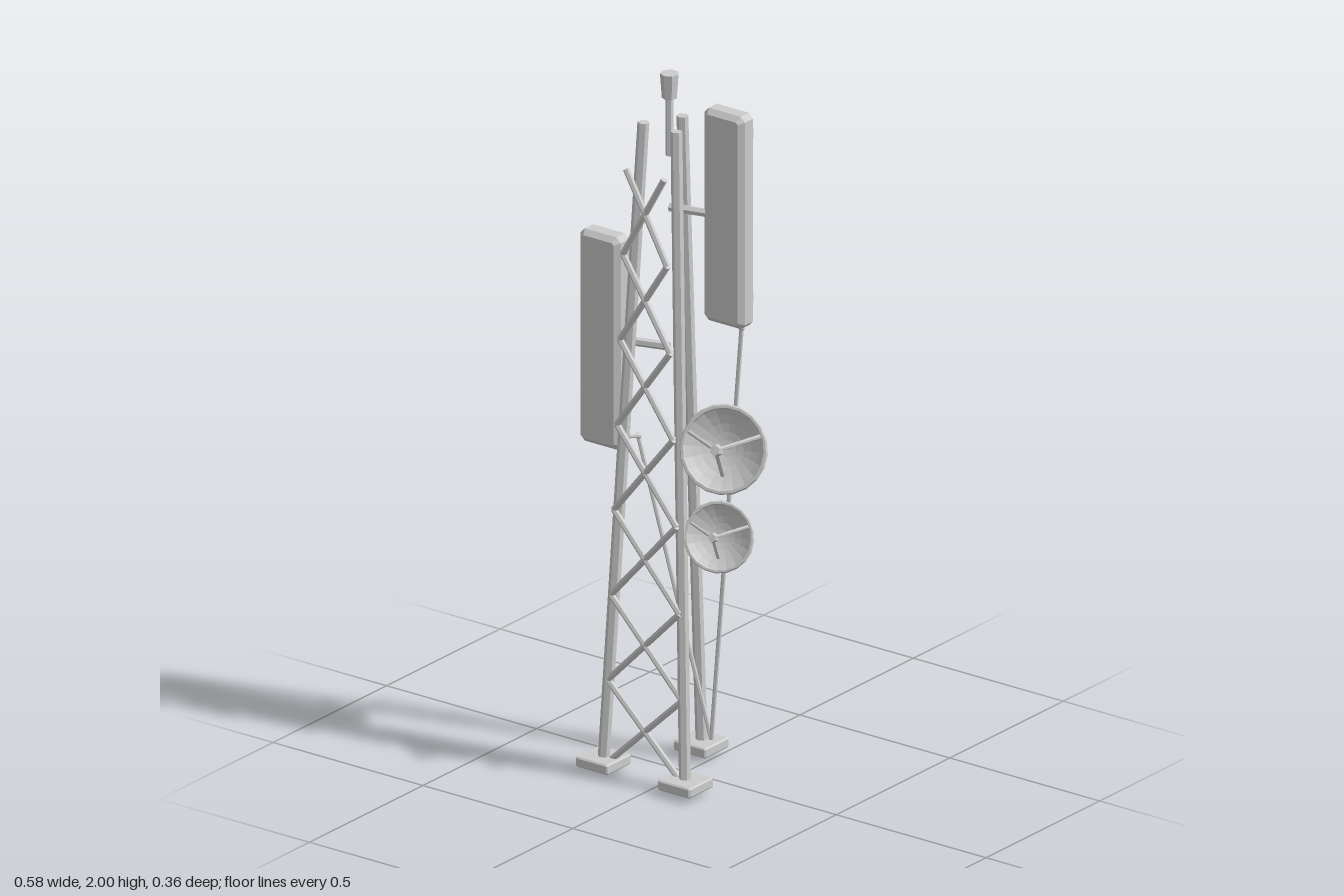
import * as THREE from 'three';

const material = new THREE.MeshStandardMaterial({ color: 0xcccccc, flatShading: true });
const thinMaterial = new THREE.MeshStandardMaterial({ color: 0xcccccc, flatShading: true, side: THREE.DoubleSide });
const V = (x, y, z) => new THREE.Vector3(x, y, z);

function add(parent, name, geometry, position = V(0, 0, 0), mat = material) {
  const mesh = new THREE.Mesh(geometry, mat);
  mesh.name = name;
  mesh.position.copy(position);
  parent.add(mesh);
  return mesh;
}

// Straight bar between two points
function bar(parent, name, a, b, radius, sides = 6) {
  const dir = b.clone().sub(a);
  const mesh = add(parent, name, new THREE.CylinderGeometry(radius, radius, dir.length(), sides),
    a.clone().add(b).multiplyScalar(0.5));
  mesh.quaternion.setFromUnitVectors(V(0, 1, 0), dir.normalize());
  return mesh;
}

// Centred box with chamfered edges, extruded along z
function chamferBox(w, h, d, c) {
  const x = w / 2 - c, y = h / 2 - c, k = c * 0.4;
  const shape = new THREE.Shape([[-x + k, -y], [x - k, -y], [x, -y + k], [x, y - k],
    [x - k, y], [-x + k, y], [-x, y - k], [-x, -y + k]].map(p => new THREE.Vector2(...p)));
  return new THREE.ExtrudeGeometry(shape, {
    depth: d - 2 * c, bevelEnabled: true, bevelThickness: c, bevelSize: c, bevelSegments: 1,
  }).translate(0, 0, -d / 2 + c);
}

function panelAntenna(name, center) {
  const group = new THREE.Group();
  group.name = name;
  group.position.copy(center);
  add(group, 'panelBody', chamferBox(0.134, 0.61, 0.064, 0.014));
  for (const y of [-0.235, 0.235])
    add(group, 'panelBracket', new THREE.BoxGeometry(0.091, 0.026, 0.024), V(0, y, -0.036));
  return group;
}

function dishAntenna(name, center, scale) {
  const group = new THREE.Group();
  group.name = name;
  group.position.copy(center);
  group.lookAt(center.clone().add(V(0.34, 0.33, 0.88)));
  group.scale.setScalar(scale);
  // Parabolic bowl opening along local +z
  const R = 0.115, profile = [];
  for (let i = 0; i <= 5; i++) {
    const r = R * i / 5;
    profile.push(new THREE.Vector2(r, 0.042 * ((r / R) ** 2 - 1)));
  }
  add(group, 'dishBowl', new THREE.LatheGeometry(profile, 20).rotateX(Math.PI / 2), V(0, 0, 0), thinMaterial);
  add(group, 'dishRim', new THREE.TorusGeometry(R, 0.007, 6, 20));
  // Feed horn on three struts
  const tip = V(0, 0, 0.08);
  for (const [deg, r] of [[25, 0.11], [160, 0.11], [272, 0.07]]) {
    const a = THREE.MathUtils.degToRad(deg);
    bar(group, 'feedStrut', V(r * Math.cos(a), r * Math.sin(a), -0.005), tip, 0.006);
  }
  add(group, 'feedHorn', new THREE.CylinderGeometry(0.014, 0.018, 0.024, 6).rotateX(Math.PI / 2), tip);
  return group;
}

export function createModel() {
  const model = new THREE.Group();
  model.name = 'antennaTower';

  // Three leaning legs on base plates
  const legs = [
    [V(-0.182, 0, 0.127), V(-0.1, 1.86, 0.057)],
    [V(0.092, 0, 0.127), V(0.01, 1.86, 0.057)],
    [V(-0.045, 0, -0.128), V(-0.045, 1.86, -0.042)],
  ];
  for (const [foot, top] of legs) {
    bar(model, 'leg', foot, top, 0.016);
    add(model, 'basePlate', chamferBox(0.107, 0.107, 0.029, 0.004).rotateX(-Math.PI / 2),
      V(foot.x, 0.028, Math.sign(foot.z) * 0.125));
  }

  // Crossed bracing in an upright plane along the front
  const levels = 7, y0 = 0.015, step = 0.247;
  const node = (side, i) => {
    const y = y0 + i * step;
    return V(-0.045 + side * (0.135 - 0.041 * y), y, 0.122);
  };
  for (let i = 0; i < levels; i++)
    for (const side of [-1, 1])
      bar(model, 'crossBrace', node(side, i), node(-side, i + 1), 0.009);

  // Mast tip
  bar(model, 'mastRod', V(-0.045, 1.765, 0.015), V(-0.045, 1.94, 0.015), 0.011);
  add(model, 'mastHead', new THREE.CylinderGeometry(0.026, 0.021, 0.07, 7), V(-0.045, 1.965, 0.014));

  // Panel antennas and their support arms
  const upper = V(0.12, 1.615, -0.029), lower = V(-0.222, 1.215, 0.066);
  model.add(panelAntenna('upperPanel', upper), panelAntenna('lowerPanel', lower));
  for (const c of [upper, lower])
    bar(model, 'panelArm', V(-0.045, c.y, 0.014), c, 0.012);

  // Dish antennas
  model.add(dishAntenna('upperDish', V(0.175, 0.99, 0.066), 1));
  model.add(dishAntenna('lowerDish', V(0.16, 0.735, 0.067), 0.8));

  // Feeder cables running down the back
  const cableEnd = V(0.02, 0.07, -0.084);
  for (const [start, bend] of [
    [V(0.12, 1.325, -0.045), V(0.121, 1.278, -0.084)],
    [V(-0.222, 0.92, 0.045), V(-0.224, 0.882, -0.084)],
  ]) {
    bar(model, 'cableLead', start, bend, 0.006);
    bar(model, 'feederCable', bend, cableEnd, 0.006);
    add(model, 'cableJoint', new THREE.IcosahedronGeometry(0.009, 1), bend);
  }
  return model;
}
